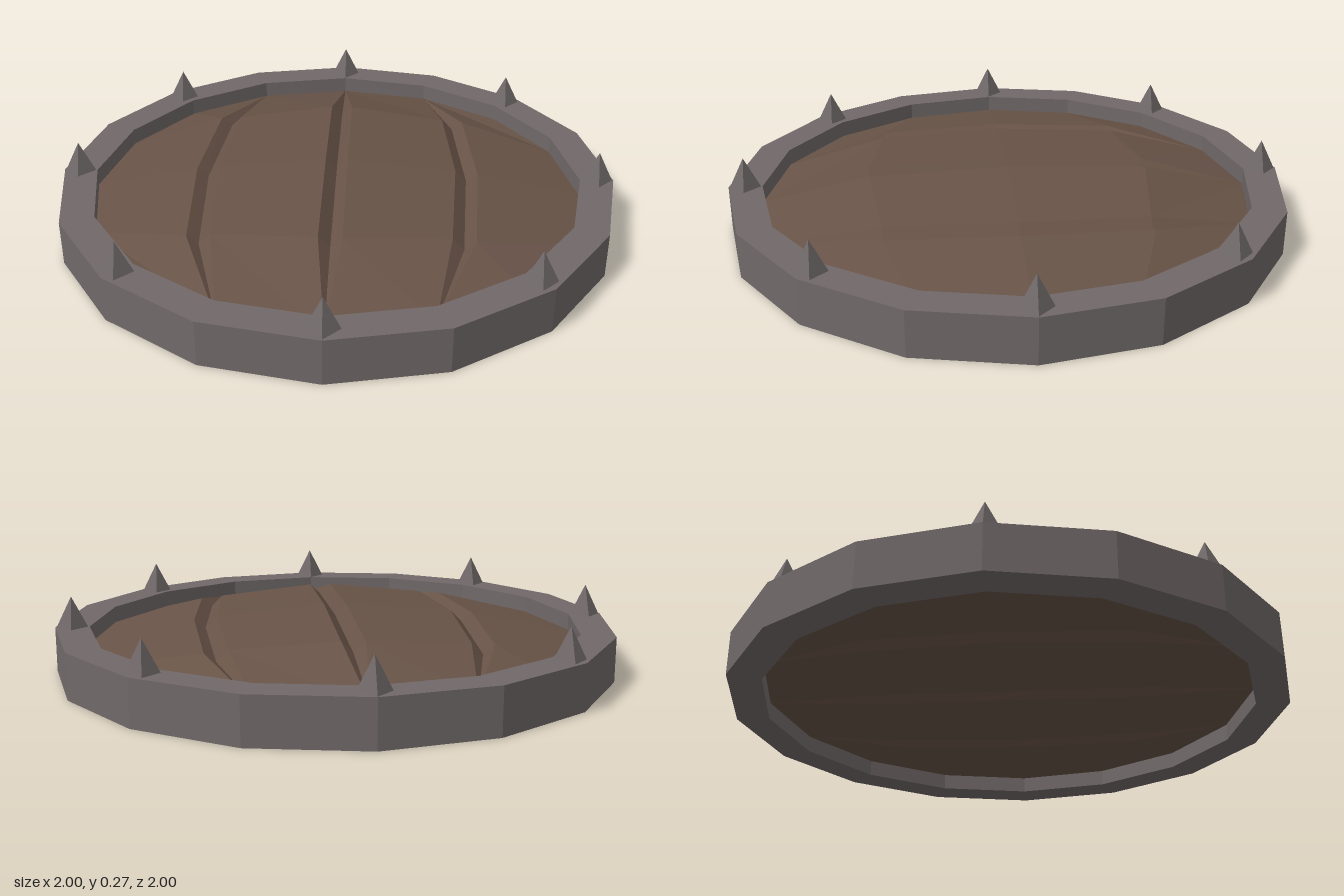
import * as THREE from 'three';

const metal = new THREE.MeshStandardMaterial({ color: 0x716969, flatShading: true });
const wood = new THREE.MeshStandardMaterial({ color: 0x685347, flatShading: true });

const SIDES = 16, INNER = 0.88, HEIGHT = 0.16;
const EDGE_Y = 0.1, UNDER_Y = 0.06, UNDER_GROOVE_Y = 0.08;

// Four planks, domed above and flat below, with grooves on both faces.
// One quarter is described, then mirrored in x and z.
function planksGeometry() {
  // A point holds x, z, its height on top and its height underneath
  const ridge = (x, y, z) => ({ x, z, top: y, under: UNDER_Y });
  const groove = (x, y, z) => ({ x, z, top: y, under: UNDER_GROOVE_Y });
  const [e0, e1, e2, e3, e4] = [0, 1, 2, 3, 4].map((i) => {
    const angle = (i * Math.PI * 2) / SIDES;
    return ridge(INNER * Math.sin(angle), EDGE_Y, INNER * Math.cos(angle));
  });
  // Long lines along the grooves: [point on the middle line, point at the bend]
  const [a, am] = [groove(0, 0.18, 0), groove(0, 0.16, 0.5)];
  const [b, bm] = [ridge(0.04, 0.22, 0), ridge(0.04, 0.2, 0.5)];
  const [c, cm] = [ridge(0.43, 0.185, 0), ridge(0.4, 0.172, 0.45)];
  const [d, dm] = [groove(0.47, 0.145, 0), groove(0.44, 0.132, 0.45)];
  const [f, fm] = [ridge(0.51, 0.175, 0), ridge(0.48, 0.163, 0.45)];
  const faces = [
    [a, am, bm, b], [am, e0, bm], // middle groove
    [b, bm, cm, c], [bm, e0, e1, cm], // inner plank
    [c, cm, dm, d], [cm, e1, dm], [d, dm, fm, f], [dm, e1, fm], // side groove
    [f, fm, e3, e4], [fm, e1, e2, e3], // outer plank
  ];
  const pos = [];
  for (const side of ['top', 'under']) {
    for (const sx of [1, -1]) {
      for (const sz of [1, -1]) {
        for (const face of faces) {
          const pts = face.map((p) => [p.x * sx, p[side], p.z * sz]);
          if ((sx * sz < 0) !== (side === 'under')) pts.reverse();
          for (let i = 1; i < pts.length - 1; i++) pos.push(...pts[0], ...pts[i], ...pts[i + 1]);
        }
      }
    }
  }
  const g = new THREE.BufferGeometry();
  g.setAttribute('position', new THREE.Float32BufferAttribute(pos, 3));
  g.computeVertexNormals();
  return g;
}

export function createModel() {
  const shield = new THREE.Group();
  shield.name = 'roundShield';

  // Metal rim with a square section
  const section = [[INNER, 0], [1, 0], [1, HEIGHT], [INNER, HEIGHT], [INNER, 0]];
  const rim = new THREE.Mesh(
    new THREE.LatheGeometry(section.map(([r, y]) => new THREE.Vector2(r, y)), SIDES), metal);
  rim.name = 'rim';
  shield.add(rim);

  // Wooden planks
  const planks = new THREE.Mesh(planksGeometry(), wood);
  planks.name = 'planks';
  shield.add(planks);

  // Eight four-sided spikes, all turned the same way
  const spikes = new THREE.Group();
  spikes.name = 'spikes';
  const spikeGeometry = new THREE.ConeGeometry(0.055, 0.11, 4);
  for (let i = 0; i < 8; i++) {
    const angle = (i * Math.PI) / 4;
    const spike = new THREE.Mesh(spikeGeometry, metal);
    spike.name = 'spike';
    spike.position.set(0.94 * Math.sin(angle), HEIGHT + 0.055, 0.94 * Math.cos(angle));
    spikes.add(spike);
  }
  shield.add(spikes);
  return shield;
}
